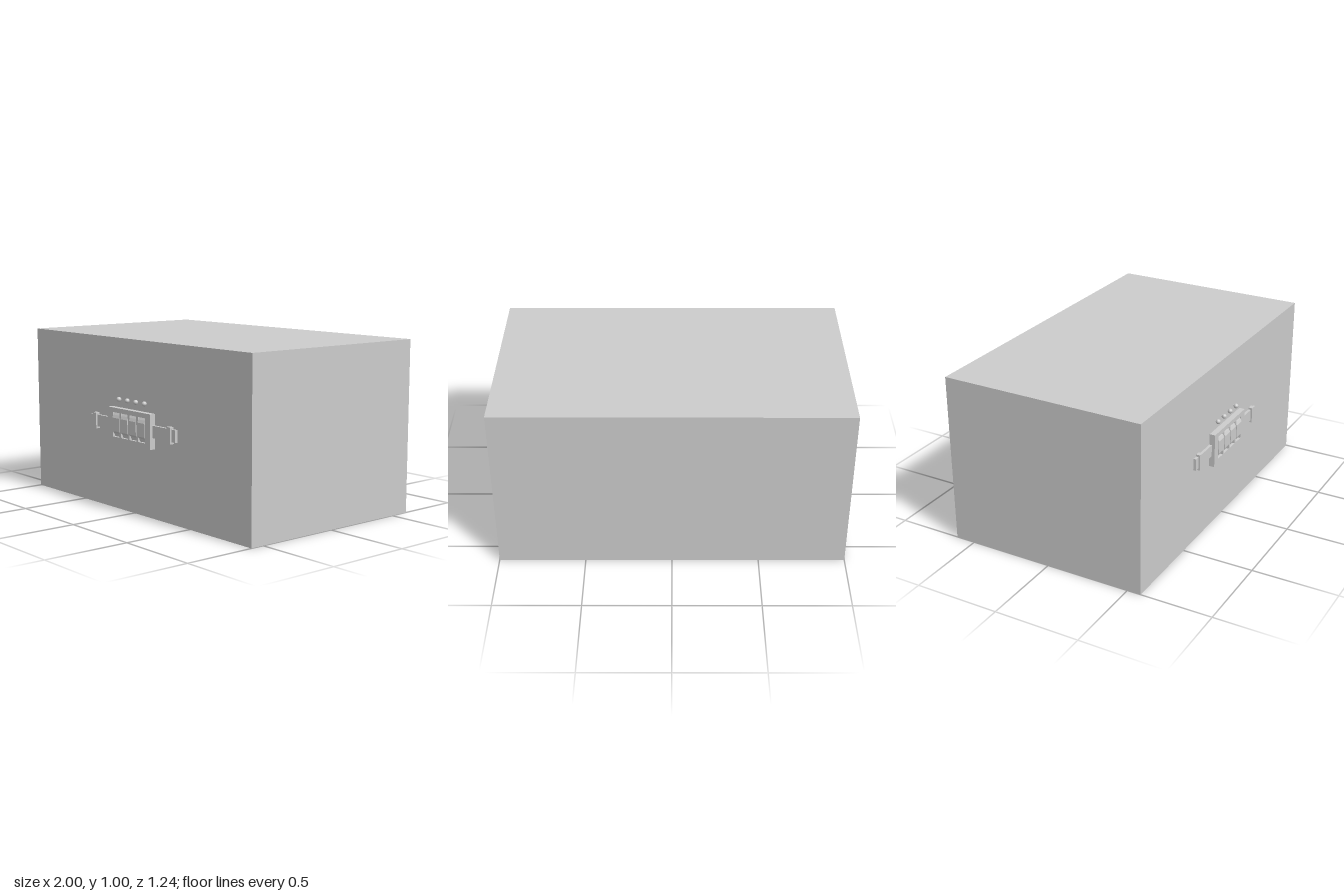
import * as THREE from 'three';

const FRONT = 0.581; // front face of the cabinet
const mat = new THREE.MeshStandardMaterial({ color: 0xcccccc });

export function createModel() {
  const root = new THREE.Group();
  const add = (name, geo, x = 0, y = 0, z = 0) => {
    const m = new THREE.Mesh(geo, mat);
    m.name = name;
    m.position.set(x, y, z);
    root.add(m);
    return m;
  };
  // Box standing out from the front face by the given depth
  const plate = (name, w, h, depth, x, y) =>
    add(name, new THREE.BoxGeometry(w, h, depth), x, y, FRONT + depth / 2);

  // Cabinet
  add('cabinet', new THREE.BoxGeometry(2, 1, 1.2), 0, 0.5, FRONT - 0.6);

  // Switch panel with four openings
  const columns = [-0.12, -0.04, 0.04, 0.12];
  const rect = (path, x, y, w, h) => path
    .moveTo(x - w / 2, y - h / 2).lineTo(x + w / 2, y - h / 2)
    .lineTo(x + w / 2, y + h / 2).lineTo(x - w / 2, y + h / 2).closePath();
  const panel = rect(new THREE.Shape(), 0, 0.5, 0.4, 0.2);
  for (const x of columns) panel.holes.push(rect(new THREE.Path(), x, 0.502, 0.065, 0.142));
  add('switchPanel', new THREE.ExtrudeGeometry(panel, { depth: 0.034, bevelEnabled: false }), 0, 0, FRONT);

  // Rocker profile in (depth, height), sloping back at both ends
  const rocker = new THREE.Shape([
    [0, 0.431], [0.018, 0.431], [0.025, 0.45], [0.038, 0.463],
    [0.038, 0.541], [0.03, 0.558], [0.02, 0.573], [0, 0.573],
  ].map(([z, y]) => new THREE.Vector2(z, y)));
  const rockerGeo = new THREE.ExtrudeGeometry(rocker, { depth: 0.065, bevelEnabled: false });
  rockerGeo.translate(0, 0, -0.0325).rotateY(-Math.PI / 2);

  // Rockers and the indicator lamps above them
  const lampGeo = new THREE.SphereGeometry(0.014, 20, 14);
  const stemGeo = new THREE.CylinderGeometry(0.007, 0.007, 0.016, 12).rotateX(Math.PI / 2);
  for (const x of columns) {
    add('rockerSwitch', rockerGeo, x, 0, FRONT);
    add('lampStem', stemGeo, x, 0.648, FRONT + 0.006);
    add('indicatorLamp', lampGeo, x, 0.648, FRONT + 0.013);
  }

  // Side straps with clips
  for (const s of [-1, 1]) {
    plate('strap', 0.2, 0.07, 0.016, s * 0.3, 0.5);
    plate('strapClip', 0.033, 0.094, 0.025, s * 0.351, 0.5);
  }
  return root;
}
